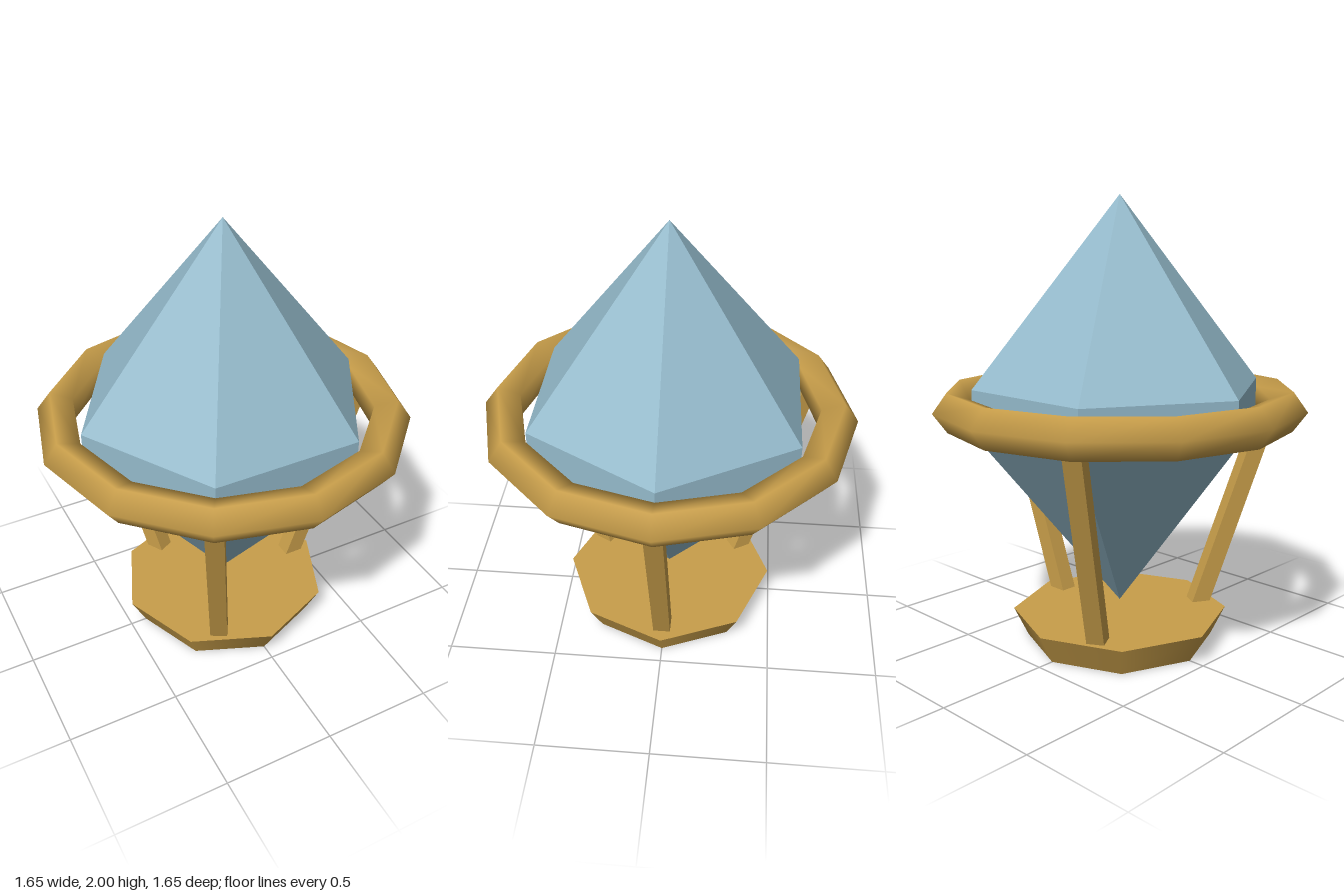
import * as THREE from 'three';

export function createModel() {
  const model = new THREE.Group();
  model.name = 'crystalOnStand';

  const gold = new THREE.MeshStandardMaterial({ color: 0xc89e4a });
  gold.name = 'gold';
  const blue = new THREE.MeshStandardMaterial({ color: 0x94bacb });
  blue.name = 'paleBlue';

  const add = (name, geometry, material) => {
    const mesh = new THREE.Mesh(geometry, material);
    mesh.name = name;
    model.add(mesh);
    return mesh;
  };

  // Crystal: two hexagonal points joined by a short straight belt
  const profile = [[0, 0.17], [0.657, 0.99], [0.657, 1.18], [0, 2]]
    .map(([r, y]) => new THREE.Vector2(r, y));
  const crystalGeometry = new THREE.LatheGeometry(profile, 6, Math.PI / 2).toNonIndexed();
  crystalGeometry.computeVertexNormals();
  add('crystal', crystalGeometry, blue);

  // Ring around the belt: twelve segments, five-sided tube
  const ringGeometry = new THREE.TorusGeometry(0.736, 0.09, 5, 12);
  ringGeometry.rotateX(-Math.PI / 2);
  add('ring', ringGeometry, gold).position.y = 1.085;

  // Flared eight-sided base
  add('base', new THREE.CylinderGeometry(0.49, 0.425, 0.13, 8), gold).position.y = 0.065;

  // Three square legs leaning outward from the base to the ring
  const foot = new THREE.Vector2(0.37, 0.08);
  const head = new THREE.Vector2(0.735, 1.083);
  const lean = Math.atan2(head.x - foot.x, head.y - foot.y);
  for (let i = 0; i < 3; i++) {
    const geometry = new THREE.BoxGeometry(0.082, foot.distanceTo(head), 0.078);
    geometry.rotateZ(-lean);
    geometry.translate((foot.x + head.x) / 2, (foot.y + head.y) / 2, 0);
    add('leg' + (i + 1), geometry, gold).rotation.y = (i * Math.PI * 2) / 3;
  }

  return model;
}
